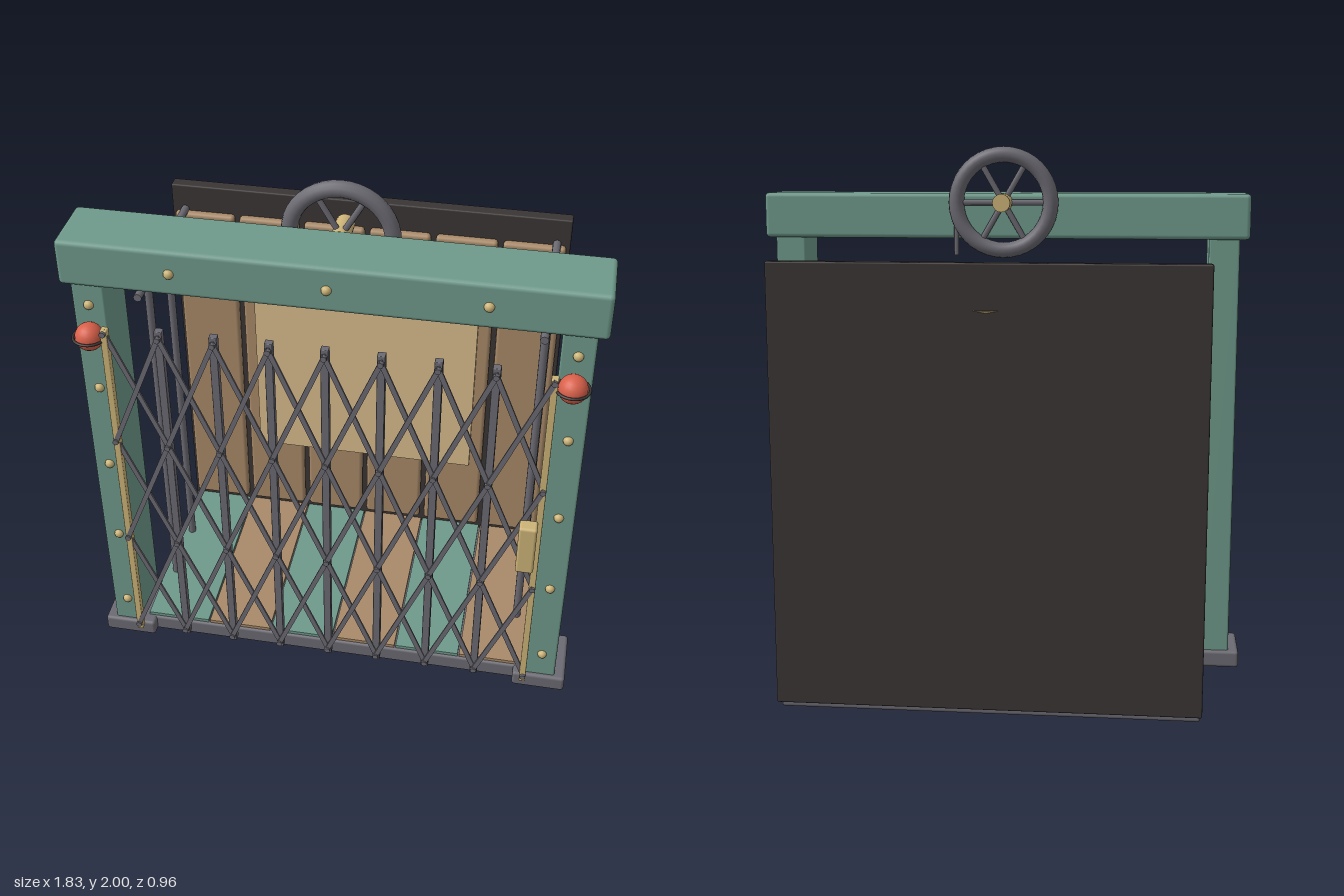
import * as THREE from 'three';
import { RoundedBoxGeometry } from 'three/addons/geometries/RoundedBoxGeometry.js';

const mat = (color) => new THREE.MeshStandardMaterial({ color });
const teal = mat(0x6f9a8b), brown = mat(0xa98a69), dark = mat(0x3a3534), steel = mat(0x6c6a72);
const brass = mat(0xcdb478), cream = mat(0xdabd8c), red = mat(0xd8604a);

export function createModel() {
  const model = new THREE.Group();

  function add(name, geometry, material, x = 0, y = 0, z = 0) {
    const mesh = new THREE.Mesh(geometry, material);
    mesh.name = name;
    mesh.position.set(x, y, z);
    model.add(mesh);
    return mesh;
  }
  // box given by its extents, softened when r > 0
  function box(name, material, [x0, x1], [y0, y1], [z0, z1], r = 0) {
    const w = x1 - x0, h = y1 - y0, d = z1 - z0;
    const g = r ? new RoundedBoxGeometry(w, h, d, 2, r) : new THREE.BoxGeometry(w, h, d);
    return add(name, g, material, (x0 + x1) / 2, (y0 + y1) / 2, (z0 + z1) / 2);
  }
  // round rod between two points
  function rod(name, material, a, b, r, sides = 12) {
    const p = new THREE.Vector3(...a), q = new THREE.Vector3(...b);
    const dir = q.clone().sub(p);
    const mesh = add(name, new THREE.CylinderGeometry(r, r, dir.length(), sides), material);
    mesh.position.copy(p).add(q).multiplyScalar(0.5);
    mesh.quaternion.setFromUnitVectors(new THREE.Vector3(0, 1, 0), dir.normalize());
    return mesh;
  }
  const rivetGeometry = new THREE.SphereGeometry(0.018, 12, 8);
  const rivet = (x, y, z) => add('rivet', rivetGeometry, brass, x, y, z);

  // floor with alternating planks
  box('floorSlab', steel, [-0.75, 0.75], [0.005, 0.07], [-0.425, 0.34], 0.01);
  for (let i = 0; i < 6; i++) {
    const x = -0.75 + i * 0.25;
    box('floorPlank', i % 2 ? brown : teal, [x + 0.003, x + 0.247], [0.065, 0.083], [-0.42, 0.33]);
  }

  // back wall, panels and mirror
  box('backWall', dark, [-0.755, 0.755], [0.04, 1.615], [-0.475, -0.425], 0.006);
  for (let i = 0; i < 6; i++) {
    const x = -0.75 + i * 0.25;
    box('wallPanel', brown, [x + 0.01, x + 0.24], [0.108, 1.512], [-0.43, -0.395], 0.014);
  }
  box('mirror', cream, [-0.44, 0.44], [0.445, 1.32], [-0.4, -0.376]);

  // wall lamp
  add('lampShade', new THREE.CylinderGeometry(0.138, 0.06, 0.09, 18), brass, 0, 1.41, -0.345);
  add('lampGlobe', new THREE.SphereGeometry(0.07, 20, 14), cream, 0, 1.337, -0.325);

  // gateway beam
  box('topBeam', teal, [-0.912, 0.912], [1.66, 1.828], [0.135, 0.375], 0.016);
  for (const x of [-0.525, 0, 0.525]) rivet(x, 1.745, 0.374);

  for (const s of [-1, 1]) {
    // post with foot and rivets
    const span = (a, b) => (s > 0 ? [a, b] : [-b, -a]);
    box('post', teal, span(0.762, 0.876), [0.06, 1.67], [0.155, 0.36], 0.008);
    box('foot', steel, span(0.715, 0.916), [0.005, 0.07], [0.14, 0.377], 0.012);
    for (let i = 0; i < 5; i++) rivet(s * 0.82, 0.18 + i * 0.35, 0.359);

    // signal lamp with guard ring
    add('signalLamp', new THREE.SphereGeometry(0.05, 20, 14), red, s * 0.815, 1.48, 0.402);
    const ring = add('signalRing', new THREE.TorusGeometry(0.056, 0.005, 8, 28), dark, s * 0.815, 1.48, 0.402);
    ring.rotation.x = Math.PI / 2;

    // side cage
    rod('sideRail', steel, [s * 0.705, 1.515, -0.425], [s * 0.705, 1.515, 0.2], 0.015);
    for (const z of [-0.165, 0.08]) {
      rod('sideBar', steel, [s * 0.705, 0.07, z], [s * 0.705, 1.545, z], 0.015);
    }

    // brass gate edge
    box('gateEdge', brass, span(0.743, 0.767), [0.09, 1.527], [0.4, 0.43], 0.004);
  }

  // folding gate uprights
  const step = 0.189, rows = [0.12, 0.585, 1.05, 1.515];
  for (let i = -3; i <= 3; i++) {
    box('gateUpright', steel, [i * step - 0.014, i * step + 0.014], [0.09, 1.54], [0.393, 0.421], 0.003);
  }

  // lattice: every bar climbs one row per upright, cut at the gate edges
  const pivot = new THREE.CylinderGeometry(0.011, 0.011, 0.012, 10).rotateX(Math.PI / 2);
  for (const s of [-1, 1]) {
    for (let i = -6; i <= 3; i++) {
      const lo = Math.max(0, -4 - i), hi = Math.min(3, 4 - i);
      if (hi <= lo) continue;
      const dx = (hi - lo) * step, dy = rows[hi] - rows[lo];
      const bar = add('latticeBar', new THREE.BoxGeometry(0.018, Math.hypot(dx, dy) + 0.02, 0.008), steel,
        s * (i + (lo + hi) / 2) * step, (rows[lo] + rows[hi]) / 2, 0.425 + s * 0.004);
      bar.rotation.z = -s * Math.atan2(dx, dy);
    }
  }
  for (let i = -4; i <= 4; i++) {
    for (const y of rows) add('latticePivot', pivot, steel, i * step, y, 0.433);
  }

  // gate handle
  box('gateHandle', brass, [0.688, 0.752], [0.706, 0.915], [0.425, 0.48], 0.01);

  // hoist wheel with hub, spokes and cable
  const wheelY = 1.795, wheelZ = 0.115;
  add('wheelRim', new THREE.TorusGeometry(0.176, 0.029, 12, 40), steel, 0, wheelY, wheelZ);
  for (let i = 0; i < 6; i++) {
    const a = (i * Math.PI) / 3;
    rod('wheelSpoke', steel, [0, wheelY, wheelZ],
      [Math.cos(a) * 0.176, wheelY + Math.sin(a) * 0.176, wheelZ], 0.011, 8);
  }
  rod('wheelHub', brass, [0, wheelY, 0.03], [0, wheelY, 0.145], 0.033, 16);
  rod('cable', steel, [0.176, 1.6, wheelZ], [0.176, wheelY, wheelZ], 0.009, 8);

  return model;
}
